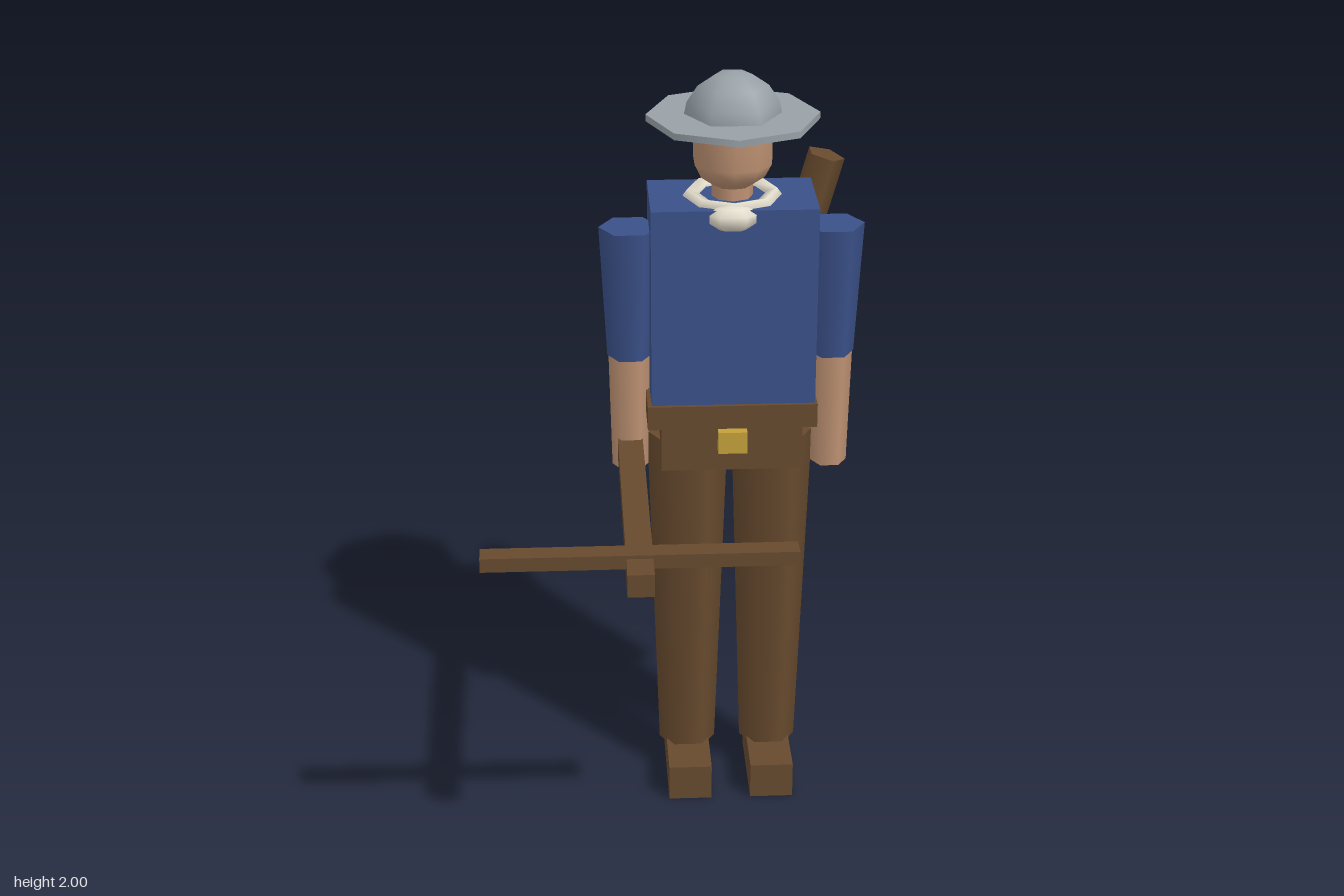
import * as THREE from 'three';

function mat(name, color) {
  const m = new THREE.MeshStandardMaterial({ color });
  m.name = name;
  return m;
}

export function createModel() {
  const blue = mat('blue cloth', 0x3a5088);
  const brown = mat('brown leather', 0x674a2e);
  const skin = mat('skin', 0xbe9273);
  const grey = mat('grey steel', 0x98a1a7);
  const cream = mat('cream cloth', 0xe2dccb);
  const gold = mat('gold', 0xc4a03a);

  const model = new THREE.Group();
  model.name = 'archer';
  const CX = 0.152, CZ = -0.28; // centre line of the body

  function add(name, geometry, material, x, y, z, parent = model) {
    const mesh = new THREE.Mesh(geometry, material);
    mesh.name = name;
    mesh.position.set(x, y, z);
    parent.add(mesh);
    return mesh;
  }
  // box given by its limits on each axis
  function box(name, material, [x0, x1], [y0, y1], [z0, z1], parent) {
    return add(name, new THREE.BoxGeometry(x1 - x0, y1 - y0, z1 - z0), material,
      (x0 + x1) / 2, (y0 + y1) / 2, (z0 + z1) / 2, parent);
  }
  // upright tapered prism with a corner on +x
  function prism(name, material, rTop, rBottom, y0, y1, x, z, sides = 6, parent) {
    const g = new THREE.CylinderGeometry(rTop, rBottom, y1 - y0, sides).rotateY(Math.PI / 2);
    return add(name, g, material, x, (y0 + y1) / 2, z, parent);
  }

  // trunk
  box('torso', blue, [-0.058, 0.362], [1.15, 1.68], [-0.4, -0.16]);
  box('belt', brown, [-0.068, 0.368], [1.092, 1.156], [-0.412, -0.15]);
  box('hips', brown, [-0.033, 0.332], [0.967, 1.095], [-0.386, -0.168]);
  box('buckle', gold, [0.113, 0.188], [1.025, 1.084], [-0.172, -0.141]);

  // legs, boots and arms, once per side
  for (const s of [-1, 1]) {
    const legX = CX + s * 0.111;
    prism('leg', brown, 0.106, 0.076, 0.09, 1.03, legX, CZ);
    box('boot', brown, [legX - 0.058, legX + 0.058], [0, 0.1], [-0.374, -0.096]);
    const armX = CX + s * 0.261;
    prism('sleeve', blue, 0.0765, 0.058, 1.25, 1.6, armX, CZ);
    prism('forearm', skin, 0.055, 0.048, 0.938, 1.252, armX, CZ);
  }

  // neck and head
  prism('neck', skin, 0.052, 0.052, 1.66, 1.74, CX, CZ, 8);
  const profile = [[0, 1.695], [0.05, 1.71], [0.085, 1.735], [0.103, 1.77], [0.103, 1.88]]
    .map(([r, y]) => new THREE.Vector2(r, y));
  const head = add('head', new THREE.LatheGeometry(profile, 10), skin, CX, 0, CZ);
  head.scale.x = 0.985;

  // helmet
  add('helmetBrim', new THREE.CylinderGeometry(0.217, 0.217, 0.017, 8), grey, CX, 1.884, CZ);
  add('helmetDome', new THREE.SphereGeometry(0.125, 6, 4, 0, Math.PI * 2, 0, Math.PI / 2),
    grey, CX, 1.875, CZ);

  // neckerchief with its knots
  add('neckerchief', new THREE.TorusGeometry(0.106, 0.023, 5, 8).rotateX(Math.PI / 2),
    cream, CX, 1.675, CZ);
  for (const s of [-1, 1]) {
    const knot = add('neckerchiefKnot', new THREE.SphereGeometry(1, 6, 5), cream,
      CX - 0.006, 1.658, CZ + s * 0.113);
    knot.scale.set(0.07, 0.034, 0.035);
  }

  // five-sided quiver slung across the back
  const quiver = prism('quiver', brown, 0.051, 0.051, 1.194, 1.734, 0.333, -0.452, 5);
  quiver.rotation.z = -0.27;

  // crossbow held forward in the hand
  const crossbow = new THREE.Group();
  crossbow.name = 'crossbow';
  model.add(crossbow);
  box('stock', brown, [-0.143, -0.078], [0.965, 1.024], [-0.28, 0.502], crossbow);
  box('bowArms', brown, [-0.49, 0.271], [0.997, 1.033], [0.368, 0.421], crossbow);

  return model;
}
